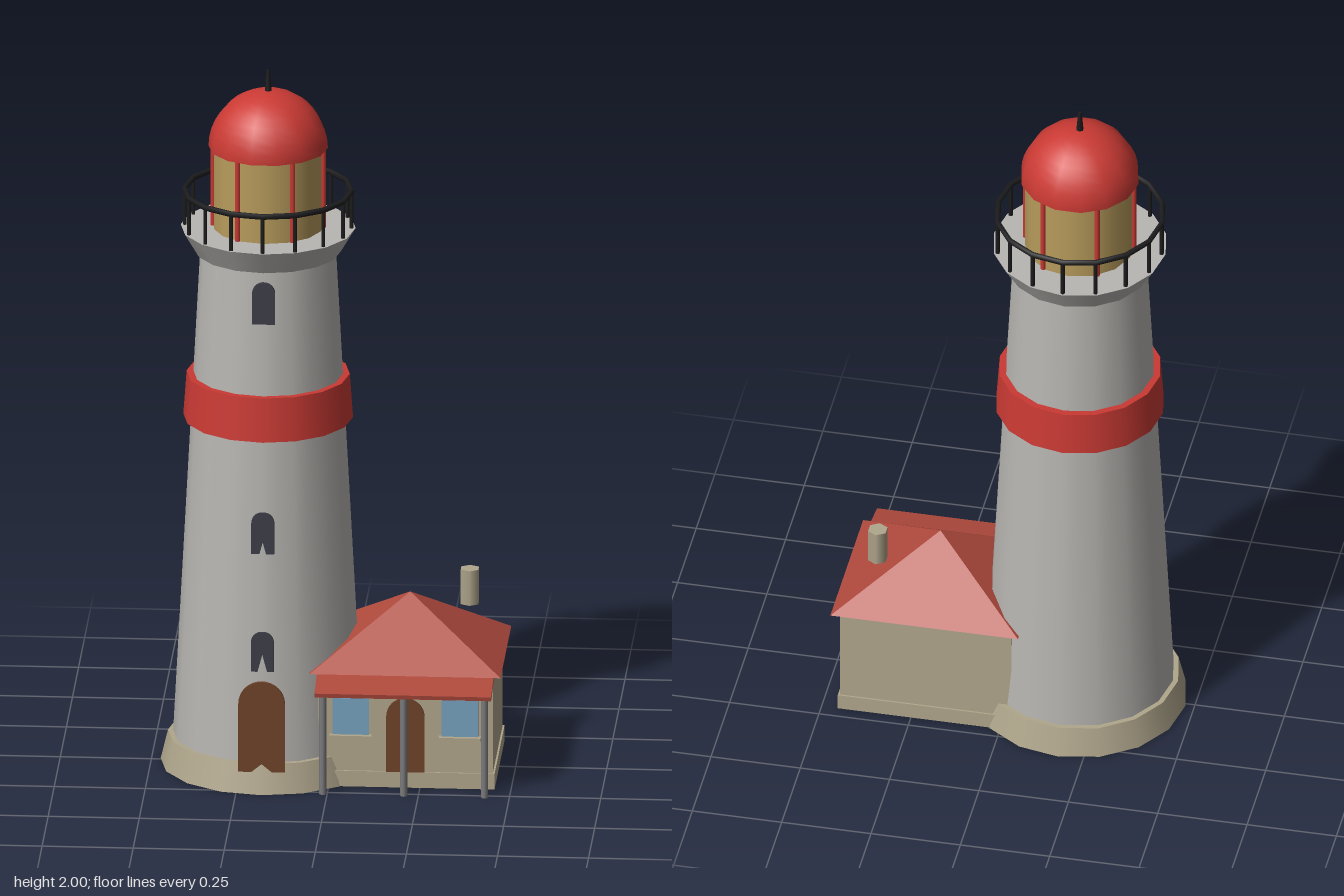
import * as THREE from 'three';

const mat = (name, color) => {
  const m = new THREE.MeshStandardMaterial({ color });
  m.name = name;
  return m;
};

export function createModel() {
  const white = mat('tower grey', 0xb8b6b2);
  const red = mat('signal red', 0xcb3a34);
  const tile = mat('roof tile', 0xb04a3d);
  const stone = mat('stone', 0xb0a68c);
  const wood = mat('door wood', 0x6e4329);
  const blue = mat('window blue', 0x76a2c0);
  const gold = mat('lantern glass', 0xb89c5c);
  const black = mat('black iron', 0x1c1c1e);
  const slate = mat('dark window', 0x3e3e48);
  const grey = mat('post grey', 0x7c7c7e);

  const model = new THREE.Group();
  const tower = new THREE.Group();
  tower.name = 'tower';
  tower.position.set(-0.18, 0, -0.01);
  const house = new THREE.Group();
  house.name = 'house';
  house.position.set(0.21, 0, -0.01);
  model.add(tower, house);

  const add = (parent, name, geo, material, x = 0, y = 0, z = 0) => {
    const mesh = new THREE.Mesh(geo, material);
    mesh.name = name;
    mesh.position.set(x, y, z);
    parent.add(mesh);
    return mesh;
  };
  // Upright cylinder or cone given by its bottom and top heights
  const drum = (parent, name, material, rBottom, rTop, y0, y1, sides, x = 0, z = 0) =>
    add(parent, name, new THREE.CylinderGeometry(rTop, rBottom, y1 - y0, sides),
      material, x, (y0 + y1) / 2, z);
  const box = (parent, name, material, w, h, d, x, y, z) =>
    add(parent, name, new THREE.BoxGeometry(w, h, d), material, x, y, z);
  // Round-headed plate whose front face lies at z
  const arch = (parent, name, material, w, y0, y1, x, z) => {
    const r = w / 2, s = new THREE.Shape();
    s.moveTo(-r, 0);
    s.lineTo(r, 0);
    s.lineTo(r, y1 - y0 - r);
    s.absarc(0, y1 - y0 - r, r, 0, Math.PI, false);
    s.closePath();
    const depth = 0.0095;
    const geo = new THREE.ExtrudeGeometry(s, { depth, bevelEnabled: false, curveSegments: 8 });
    return add(parent, name, geo, material, x, y0, z - depth);
  };

  // Tower body
  drum(tower, 'towerBase', stone, 0.295, 0.275, 0, 0.083, 16);
  drum(tower, 'towerShaft', white, 0.262, 0.186, 0.06, 1.49, 16);
  drum(tower, 'redBand', red, 0.233, 0.224, 1.0, 1.125, 16);
  drum(tower, 'gallery', white, 0.2, 0.24, 1.48, 1.548, 16);

  // Door and windows of the tower
  arch(tower, 'towerDoor', wood, 0.128, 0.06, 0.32, 0, 0.275);
  [[0.34, 0.455, 0.2445], [0.675, 0.795, 0.2275], [1.33, 1.45, 0.197]].forEach(([y0, y1, z]) =>
    arch(tower, 'towerWindow', slate, 0.063, y0, y1, 0, z));

  // Gallery railing
  const rail = add(tower, 'railing', new THREE.TorusGeometry(0.229, 0.008, 6, 16), black, 0, 1.653, 0);
  rail.rotation.x = Math.PI / 2;
  for (let i = 0; i < 16; i++) {
    const a = (i / 16) * Math.PI * 2;
    drum(tower, 'railingPost', black, 0.006, 0.006, 1.545, 1.653, 6,
      0.229 * Math.cos(a), 0.229 * Math.sin(a));
  }

  // Lantern room, glazing bars, dome and finial
  drum(tower, 'lanternGlass', gold, 0.151, 0.151, 1.545, 1.785, 14);
  for (let i = 0; i < 6; i++) {
    const a = (i / 6) * Math.PI * 2;
    drum(tower, 'glazingBar', red, 0.008, 0.008, 1.545, 1.785, 6,
      0.151 * Math.cos(a), 0.151 * Math.sin(a));
  }
  add(tower, 'dome', new THREE.SphereGeometry(0.164, 14, 10, 0, Math.PI * 2, 0, Math.PI / 2),
    red, 0, 1.778, 0);
  const domeFloor = add(tower, 'domeFloor', new THREE.CircleGeometry(0.164, 14), red, 0, 1.778, 0);
  domeFloor.rotation.x = Math.PI / 2;
  drum(tower, 'finial', black, 0.011, 0.005, 1.935, 2.0, 6);

  // House walls, plinth and hipped roof
  box(house, 'walls', stone, 0.48, 0.33, 0.4, 0, 0.165, 0);
  box(house, 'plinth', stone, 0.49, 0.045, 0.41, 0, 0.0225, 0);
  const roofGeo = new THREE.ConeGeometry(Math.SQRT1_2, 0.17, 4, 1).toNonIndexed();
  roofGeo.rotateY(Math.PI / 4);
  roofGeo.scale(0.525, 1, 0.44);
  roofGeo.computeVertexNormals();
  add(house, 'roof', roofGeo, tile, 0, 0.413, 0);
  drum(house, 'chimney', stone, 0.028, 0.028, 0.44, 0.54, 6, 0.158, -0.084);

  // House door and windows with sills
  arch(house, 'houseDoor', wood, 0.105, 0.045, 0.258, 0, 0.207);
  for (const s of [-1, 1]) {
    box(house, 'houseWindow', blue, 0.1, 0.105, 0.009, s * 0.15, 0.203, 0.202);
    box(house, 'windowSill', stone, 0.115, 0.012, 0.022, s * 0.15, 0.145, 0.208);
  }

  // Porch
  const porch = box(house, 'porchRoof', tile, 0.485, 0.012, 0.115, 0, 0.309, 0.254);
  porch.rotation.x = 0.2;
  for (const x of [-0.222, 0, 0.222])
    drum(house, 'porchPost', grey, 0.01, 0.01, 0, 0.305, 8, x, 0.272);

  return model;
}
